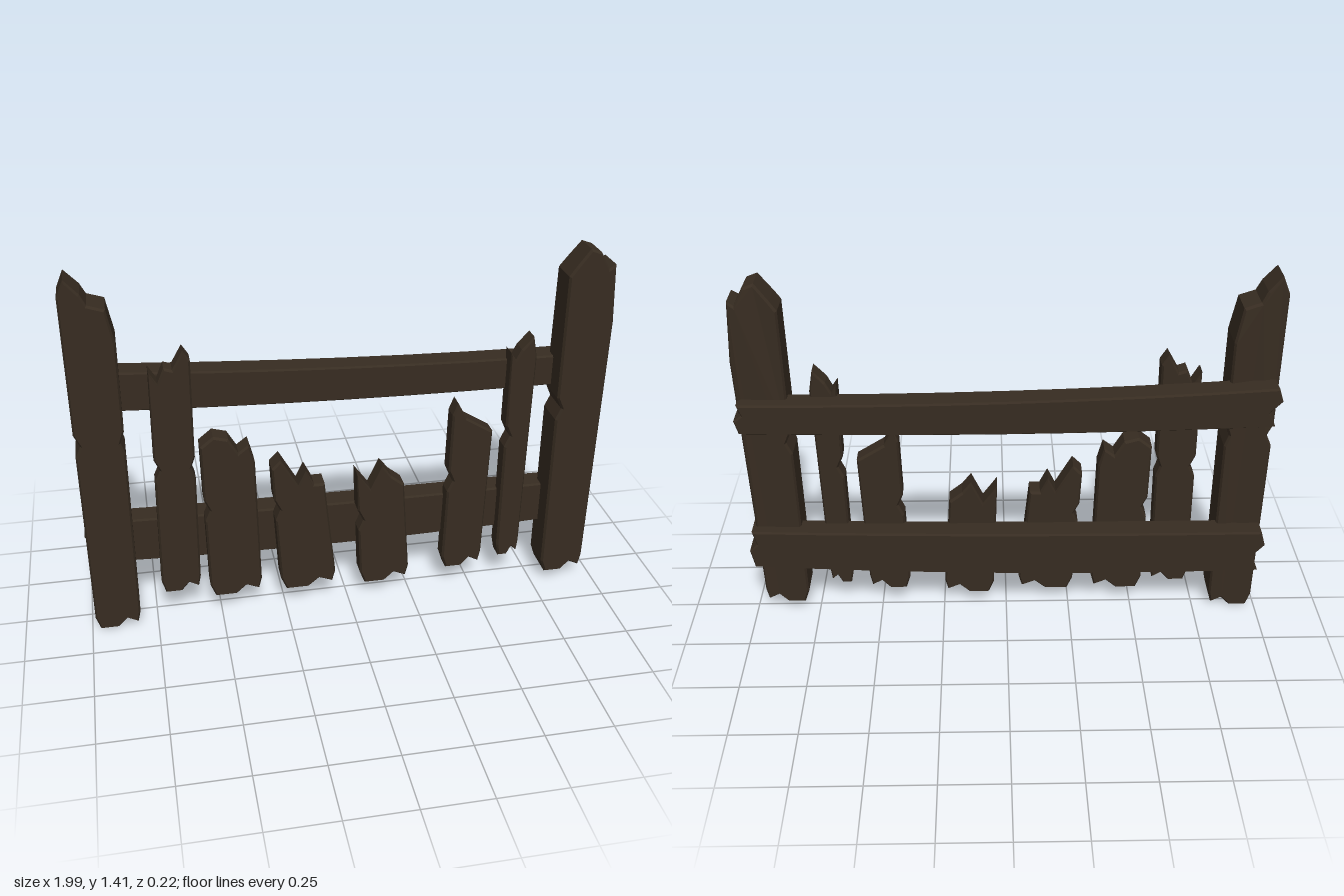
import * as THREE from 'three';

const wood = new THREE.MeshStandardMaterial({ color: 0x372c21 });

// Extrudes an outline with chipped edges, then shifts each vertex in z by bend(x, y, z)
function board(name, points, back, front, bevel, bend) {
  const geo = new THREE.ExtrudeGeometry(new THREE.Shape(points), {
    depth: front - back - 2 * bevel, bevelEnabled: true, bevelSegments: 1,
    bevelThickness: bevel, bevelSize: bevel * 0.7, bevelOffset: -bevel * 0.7,
  });
  const p = geo.attributes.position;
  for (let i = 0; i < p.count; i++) {
    p.setZ(i, bend(p.getX(i), p.getY(i), p.getZ(i) + back + bevel));
  }
  geo.computeVertexNormals();
  const mesh = new THREE.Mesh(geo, wood);
  mesh.name = name;
  return mesh;
}

// Upright plank: a broken crown (left to right), a ragged foot and a chip in the side
function plank(name, crown, left, right, foot, chipY, back, front, chipBoth = false) {
  const pts = crown.map(([x, y]) => new THREE.Vector2(x, y));
  const first = pts[0], last = pts[pts.length - 1];
  const width = right - left;
  const chip = (top, bottomX, inward) => [0.045, 0, -0.045].map((dy) => {
    const t = (top.y - chipY - dy) / (top.y - foot);
    const x = THREE.MathUtils.lerp(top.x, bottomX, t);
    return new THREE.Vector2(dy ? x : x + inward, chipY + dy);
  });
  if (chipBoth) pts.push(...chip(last, right, -0.015));
  const add = (t, dy) => pts.push(new THREE.Vector2(left + width * t, foot + dy));
  add(1, 0.06);
  add(0.94, 0.015);
  add(0.7, 0.035);
  add(0.5, 0);
  add(0.1, 0);
  add(0, 0.05);
  pts.push(...chip(first, left, 0.02).reverse());
  // The back of the tall tops leans forward
  return board(name, pts, back, front, 0.01,
    (x, y, z) => (z < 0 && y > 1.2 ? z + (y - 1.2) * 0.12 : z));
}

// Sagging rail between two curves, with split ends, running slightly askew in z
function rail(name, topAt, bottomAt) {
  const upper = [], lower = [];
  for (let i = 0; i <= 8; i++) {
    const x = -0.98 + i * 0.245;
    upper.push(new THREE.Vector2(x, topAt(x)));
    lower.unshift(new THREE.Vector2(x, bottomAt(x)));
  }
  const end = (x, t) => new THREE.Vector2(x, THREE.MathUtils.lerp(bottomAt(x), topAt(x), t));
  const outline = [...upper, end(0.965, 0.65), end(0.995, 0.45),
    ...lower, end(-0.955, 0.38), end(-0.998, 0.65)];
  return board(name, outline, -0.096, 0.004, 0.008, (x, y, z) => z + x * 0.018);
}

export function createModel() {
  const fence = new THREE.Group();
  fence.name = 'brokenFence';
  fence.add(
    // Tall end posts
    plank('rightPost', [[-0.997, 1.35], [-0.97, 1.415], [-0.92, 1.36], [-0.9, 1.32],
      [-0.84, 1.3], [-0.815, 1.17]], -0.985, -0.815, 0, 0.79, -0.042, 0.108, true),
    plank('leftPost', [[0.805, 1.3], [0.83, 1.335], [0.88, 1.4], [0.92, 1.385],
      [0.955, 1.32], [0.98, 1.335], [0.99, 1.11]], 0.79, 0.96, 0.035, 0.77, -0.036, 0.106),

    // Broken pickets
    plank('picket1', [[-0.715, 1.04], [-0.685, 0.99], [-0.66, 1.05], [-0.63, 1.04],
      [-0.59, 1.11], [-0.565, 1.07]], -0.725, -0.575, 0.105, 0.64, -0.012, 0.066, true),
    plank('picket2', [[-0.55, 0.725], [-0.5, 0.765], [-0.445, 0.75], [-0.41, 0.69],
      [-0.37, 0.72], [-0.35, 0.645]], -0.54, -0.34, 0.07, 0.455, -0.012, 0.075),
    plank('picket3', [[-0.29, 0.61], [-0.255, 0.645], [-0.19, 0.53], [-0.16, 0.59],
      [-0.13, 0.53], [-0.09, 0.53]], -0.265, -0.05, 0.07, 0.43, -0.012, 0.08),
    plank('picket4', [[0.035, 0.555], [0.09, 0.48], [0.135, 0.575], [0.17, 0.53],
      [0.22, 0.49]], 0.05, 0.245, 0.055, 0.345, -0.012, 0.075),
    plank('picket5', [[0.405, 0.76], [0.425, 0.81], [0.46, 0.745], [0.565, 0.68]],
      0.385, 0.545, 0.08, 0.475, -0.012, 0.066),
    plank('picket6', [[0.62, 1], [0.64, 0.97], [0.66, 1.01], [0.705, 1.058], [0.72, 0.975]],
      0.61, 0.7, 0.11, 0.65, -0.012, 0.066),

    // Rails behind the pickets
    rail('upperRail', (x) => 0.97 - 0.035 * x + 0.02 * x * x,
      (x) => 0.835 - 0.016 * x + 0.017 * x * x),
    rail('lowerRail', (x) => 0.392 + 0.01 * x * x,
      (x) => 0.207 + 0.008 * x + 0.025 * x * x),
  );
  return fence;
}
